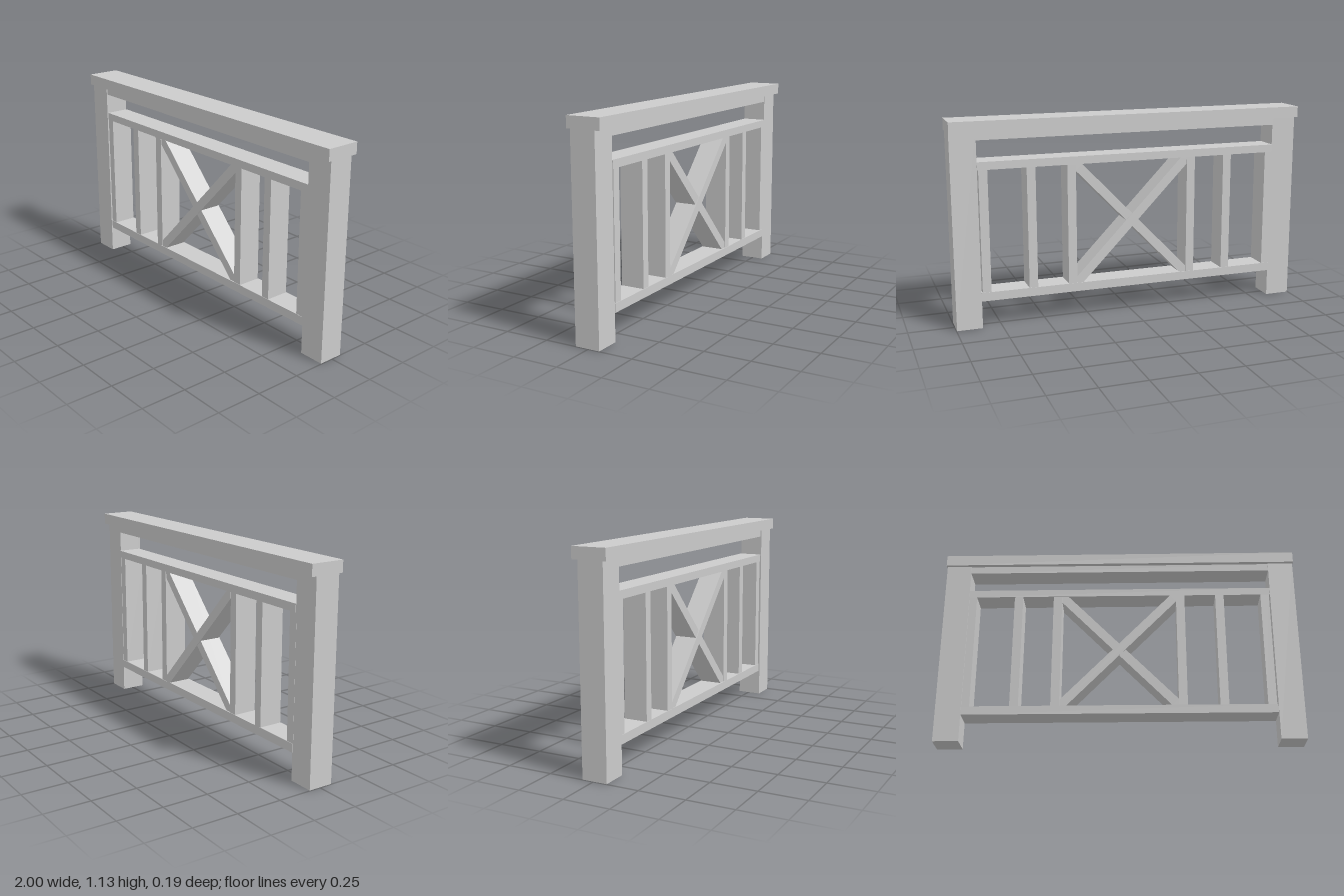
import * as THREE from 'three';

const material = new THREE.MeshStandardMaterial({ color: 0xcccccc });

// Box given by its minimum and maximum on each axis
function box(name, [x0, x1], [y0, y1], [z0, z1]) {
  const mesh = new THREE.Mesh(new THREE.BoxGeometry(x1 - x0, y1 - y0, z1 - z0), material);
  mesh.position.set((x0 + x1) / 2, (y0 + y1) / 2, (z0 + z1) / 2);
  mesh.name = name;
  return mesh;
}

// Diagonal brace with ends trimmed to the corners of its bay; side -1 mirrors it
function brace(name, side, z0, z1) {
  const w = 0.324, low = 0.2, high = 0.868, cut = 0.036;
  const points = [
    [-w, low], [-w + cut, low], [w, high - cut],
    [w, high], [w - cut, high], [-w, low + cut],
  ].map(([x, y]) => new THREE.Vector2(x * side, y));
  const geometry = new THREE.ExtrudeGeometry(new THREE.Shape(points), {
    depth: z1 - z0, bevelEnabled: false,
  });
  const mesh = new THREE.Mesh(geometry, material);
  mesh.position.z = z0;
  mesh.name = name;
  return mesh;
}

export function createModel() {
  const group = new THREE.Group();
  group.name = 'railingPanel';

  // End posts
  group.add(box('rightPost', [-0.997, -0.857], [0, 1.067], [-0.063, 0.075]));
  group.add(box('leftPost', [0.857, 0.997], [0, 1.067], [-0.063, 0.075]));

  // Handrail and the horizontal rails between the posts
  group.add(box('handrail', [-1, 1], [1.067, 1.129], [-0.094, 0.094]));
  const railX = [-0.857, 0.857], railZ = [-0.066, 0.069];
  group.add(box('subRail', railX, [1.025, 1.067], [-0.062, 0.069]));
  group.add(box('upperRail', railX, [0.868, 0.911], railZ));
  group.add(box('lowerRail', railX, [0.152, 0.2], railZ));

  // Vertical balusters
  [-0.838, -0.573, -0.35, 0.347, 0.57, 0.827].forEach((x, i) => {
    group.add(box(`baluster${i + 1}`, [x - 0.024, x + 0.024], [0.2, 0.868], [-0.064, 0.067]));
  });

  // Crossed braces in the middle bay, slightly offset in depth
  group.add(brace('risingBrace', 1, -0.06, 0.067));
  group.add(brace('fallingBrace', -1, -0.064, 0.063));

  return group;
}
